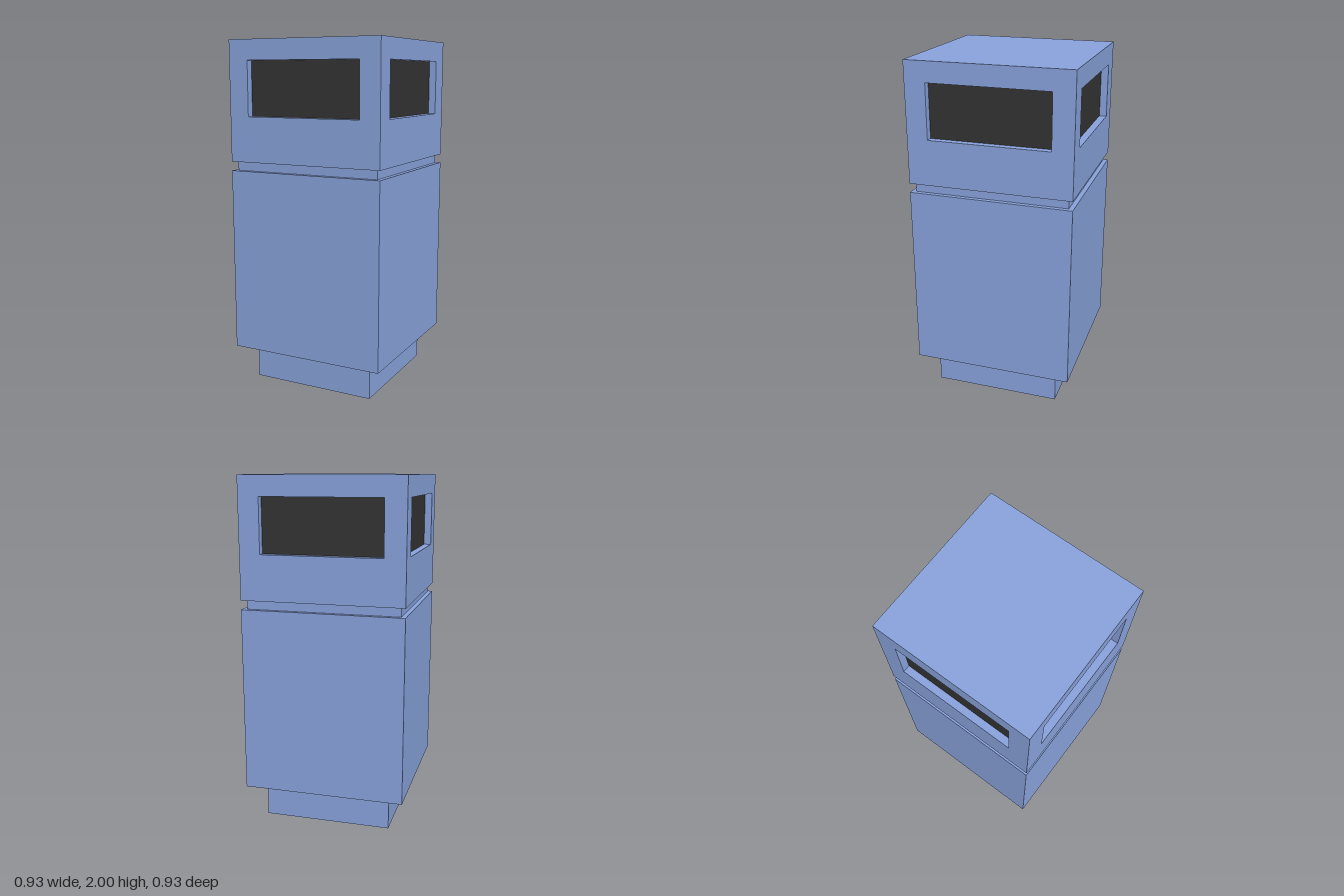
import * as THREE from 'three';

const HALF = 0.465;                 // half width of body and head
const HEAD_Y0 = 1.317, HEAD_Y1 = 2; // head bottom and top
const DEPTH = 0.042;                // recess of the openings
const OPEN = { x: 0.345, y0: 1.575, y1: 1.885 };

const blue = new THREE.MeshStandardMaterial({ color: 0x88a2db });
const dark = new THREE.MeshStandardMaterial({ color: 0x333333 });

function block(name, half, y0, y1) {
  const mesh = new THREE.Mesh(new THREE.BoxGeometry(half * 2, y1 - y0, half * 2), blue);
  mesh.position.y = (y0 + y1) / 2;
  mesh.name = name;
  return mesh;
}

function rectangle(path, x, y0, y1) {
  path.moveTo(-x, y0);
  path.lineTo(x, y0);
  path.lineTo(x, y1);
  path.lineTo(-x, y1);
  path.closePath();
  return path;
}

// Head wall with an opening; its back rim is mitred to meet the neighbouring walls
function wallGeometry() {
  const shape = rectangle(new THREE.Shape(), HALF, HEAD_Y0, HEAD_Y1);
  shape.holes.push(rectangle(new THREE.Path(), OPEN.x, OPEN.y0, OPEN.y1));
  const geometry = new THREE.ExtrudeGeometry(shape, { depth: DEPTH, bevelEnabled: false });
  const p = geometry.attributes.position;
  for (let i = 0; i < p.count; i++) {
    if (p.getZ(i) > DEPTH / 2 || Math.abs(p.getX(i)) < HALF - 0.001) continue;
    p.setX(i, p.getX(i) - Math.sign(p.getX(i)) * DEPTH);
    p.setY(i, p.getY(i) + (p.getY(i) < 1.6 ? DEPTH : -DEPTH));
  }
  geometry.translate(0, 0, HALF - DEPTH);
  geometry.computeVertexNormals();
  return geometry;
}

export function createModel() {
  const model = new THREE.Group();
  model.name = 'litterBin';

  // Stacked body
  model.add(
    block('base', 0.37, 0, 0.205),
    block('body', HALF, 0.205, 1.265),
    block('neck', 0.438, 1.265, HEAD_Y0)
  );

  // Head: four walls, each with a dark recessed panel
  const head = new THREE.Group();
  head.name = 'head';
  const wallShape = wallGeometry();
  const panelShape = new THREE.PlaneGeometry(OPEN.x * 2, OPEN.y1 - OPEN.y0);
  panelShape.translate(0, (OPEN.y0 + OPEN.y1) / 2, HALF - DEPTH);
  ['front', 'left', 'back', 'right'].forEach((side, i) => {
    const wall = new THREE.Mesh(wallShape, blue);
    wall.name = side + 'Wall';
    const panel = new THREE.Mesh(panelShape, dark);
    panel.name = side + 'Opening';
    wall.rotation.y = panel.rotation.y = i * Math.PI / 2;
    head.add(wall, panel);
  });

  // Top and underside of the head
  for (const [name, y, turn] of [['lid', HEAD_Y1, -1], ['headUnderside', HEAD_Y0, 1]]) {
    const plate = new THREE.Mesh(new THREE.PlaneGeometry(HALF * 2, HALF * 2), blue);
    plate.rotation.x = turn * Math.PI / 2;
    plate.position.y = y;
    plate.name = name;
    head.add(plate);
  }
  model.add(head);
  return model;
}
